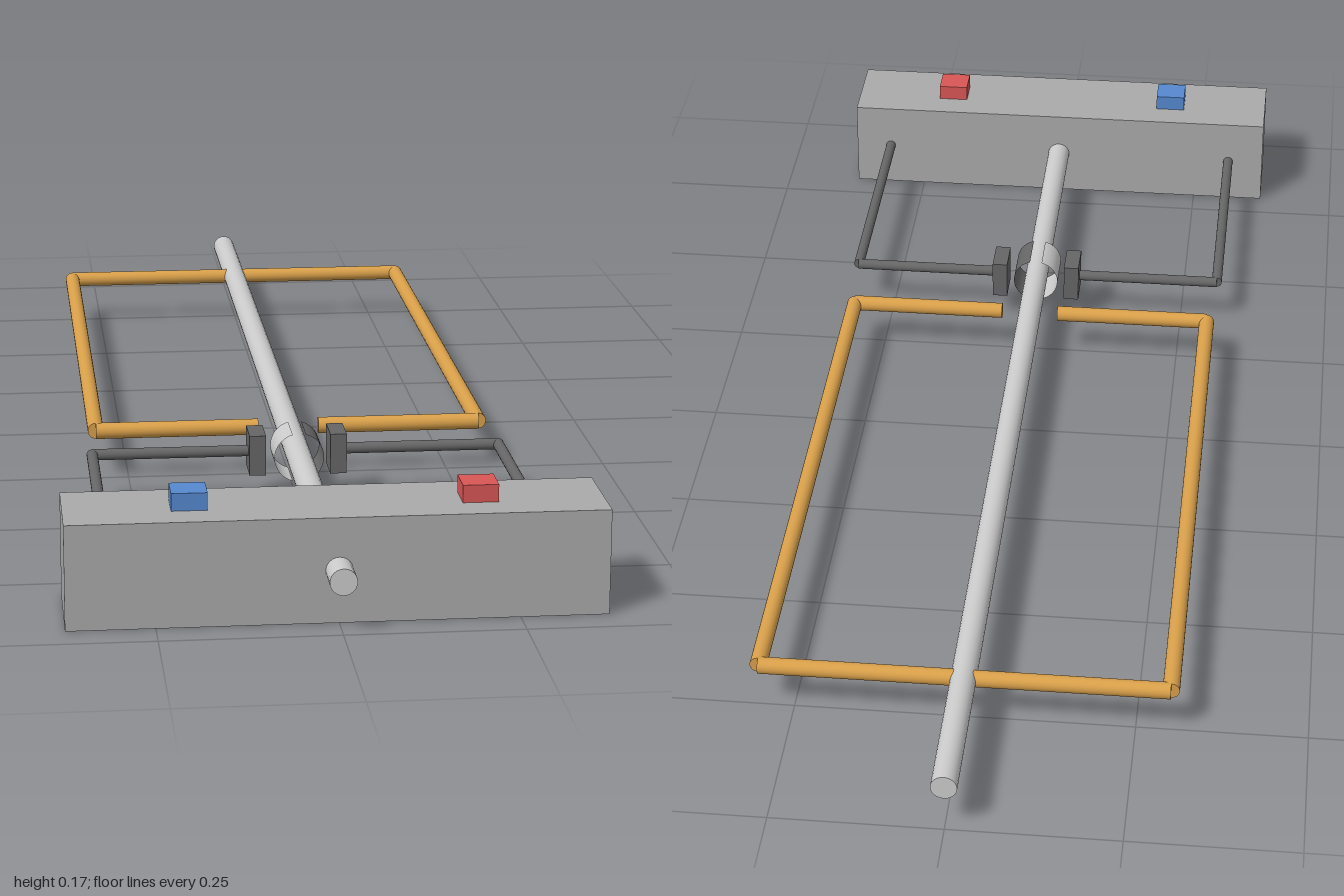
import * as THREE from 'three';

const AXIS_Y = 0.075; // height of the shaft, coil and wires

const mat = (color) => new THREE.MeshStandardMaterial({ color });

export function createModel() {
  const model = new THREE.Group();
  const steel = mat(0xcccccc);
  const casing = mat(0xaaaaaa);
  const copper = mat(0xd9a04a);
  const dark = mat(0x666666);
  const red = mat(0xd95555);
  const blue = mat(0x5588d0);

  function add(name, geometry, material, x, y, z) {
    const mesh = new THREE.Mesh(geometry, material);
    mesh.name = name;
    mesh.position.set(x, y, z);
    model.add(mesh);
    return mesh;
  }

  // Straight round bar between two points [x, z] at shaft height
  function bar(name, [x1, z1], [x2, z2], radius, material) {
    const a = new THREE.Vector3(x1, AXIS_Y, z1);
    const b = new THREE.Vector3(x2, AXIS_Y, z2);
    const geometry = new THREE.CylinderGeometry(radius, radius, a.distanceTo(b), 24);
    const mid = a.clone().add(b).multiplyScalar(0.5);
    const mesh = add(name, geometry, material, mid.x, mid.y, mid.z);
    mesh.quaternion.setFromUnitVectors(new THREE.Vector3(0, 1, 0), b.sub(a).normalize());
  }

  // Shaft and battery
  bar('shaft', [0, -1], [0, 1], 0.019, steel);
  add('battery', new THREE.BoxGeometry(0.746, 0.15, 0.15), casing, 0, 0.075, 0.875);

  // Far end of the coil
  bar('coilBack', [-0.3, -0.755], [0.3, -0.755], 0.0125, copper);

  for (const side of [-1, 1]) {
    const label = side > 0 ? 'left' : 'right';

    // Coil half with the open end facing the commutator
    bar(label + 'CoilSide', [side * 0.3, -0.755], [side * 0.3, 0.246], 0.0125, copper);
    bar(label + 'CoilEnd', [side * 0.3, 0.246], [side * 0.047, 0.246], 0.0125, copper);

    // Split ring: thin arc around the shaft
    const gap = 0.27;
    const start = (side > 0 ? 0 : Math.PI) + gap;
    const arc = new THREE.CylinderGeometry(0.0375, 0.0375, 0.072, 24, 1, true, start, Math.PI - 2 * gap);
    arc.rotateX(Math.PI / 2);
    const ringMaterial = mat(side > 0 ? 0x666666 : 0xcccccc);
    ringMaterial.side = THREE.DoubleSide;
    add(label + 'SplitRing', arc, ringMaterial, 0, AXIS_Y, 0.384);

    // Brush, wire and terminal
    add(label + 'Brush', new THREE.BoxGeometry(0.025, 0.062, 0.06), dark, side * 0.0615, AXIS_Y, 0.374);
    bar(label + 'WireAcross', [side * 0.07, 0.374], [side * 0.311, 0.374], 0.0085, dark);
    bar(label + 'WireAlong', [side * 0.311, 0.374], [side * 0.311, 0.81], 0.0085, dark);
    add(label + 'Terminal', new THREE.BoxGeometry(0.05, 0.026, 0.05), side > 0 ? red : blue,
      side * 0.2, 0.162, 0.875);
  }
  return model;
}
